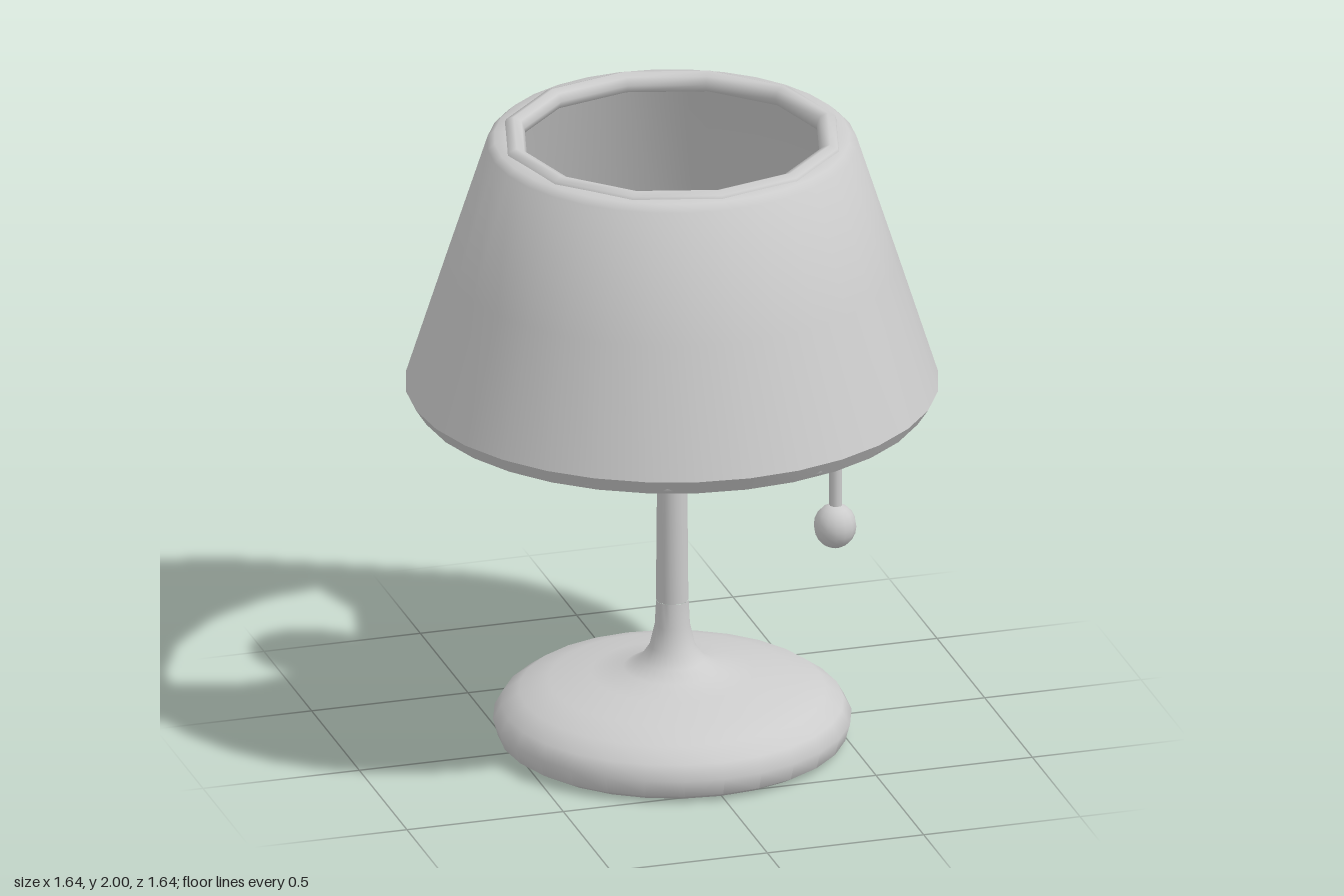
import * as THREE from 'three';
import { toCreasedNormals } from 'three/addons/utils/BufferGeometryUtils.js';

export function createModel() {
  const lamp = new THREE.Group();
  lamp.name = 'tableLamp';
  const grey = new THREE.MeshStandardMaterial({ color: 0xcccccc });
  grey.name = 'lightGrey';

  const add = (name, geometry, x = 0, y = 0, z = 0) => {
    const mesh = new THREE.Mesh(geometry, grey);
    mesh.name = name;
    mesh.position.set(x, y, z);
    lamp.add(mesh);
    return mesh;
  };
  // Turned part from [radius, height] pairs, sharp only at strong edges
  const turned = (points, sides) => toCreasedNormals(
    new THREE.LatheGeometry(points.map(([r, y]) => new THREE.Vector2(r, y)), sides), 0.8);

  // Flattened, domed foot flaring up into the stem
  add('base', turned([
    [0, 0.005], [0.5, 0.005], [0.535, 0.025], [0.55, 0.08], [0.525, 0.125], [0.47, 0.165],
    [0.38, 0.195], [0.25, 0.22], [0.15, 0.238], [0.1, 0.265], [0.07, 0.31], [0.054, 0.38], [0.05, 0.46],
  ], 28), -0.005, 0, 0.02);

  // Stem with a rounded tip below the bulb
  add('stem', turned([
    [0.05, 0.46], [0.047, 0.8], [0.049, 1.15], [0.045, 1.25], [0.03, 1.3], [0, 1.33],
  ], 16), -0.005, 0, 0.018);

  add('bulb', new THREE.SphereGeometry(0.182, 16, 12), -0.005, 1.49, 0);

  // Open tapered shade: outer wall, upper lip, inner wall, lower lip
  add('shade', turned([
    [0.74, 1.135], [0.785, 1.122], [0.818, 1.172], [0.692, 1.57], [0.567, 1.96], [0.545, 1.98],
    [0.5, 1.982], [0.485, 1.96], [0.635, 1.57], [0.765, 1.18], [0.74, 1.135],
  ], 32));

  // Rolled faceted rims at both openings
  const rim = (name, radius, tube, y, sides) => {
    const mesh = add(name, new THREE.TorusGeometry(radius, tube, 8, sides), 0, y, 0);
    mesh.rotation.x = Math.PI / 2;
  };
  rim('upperRim', 0.497, 0.034, 1.966, 12);
  rim('lowerRim', 0.768, 0.03, 1.15, 20);

  // Pull cord with its bead
  add('pullCord', new THREE.CylinderGeometry(0.02, 0.02, 0.4, 10), 0.4, 1.02, 0.405);
  add('pullBead', new THREE.SphereGeometry(0.066, 14, 10), 0.398, 0.807, 0.405).scale.y = 1.08;

  return lamp;
}
